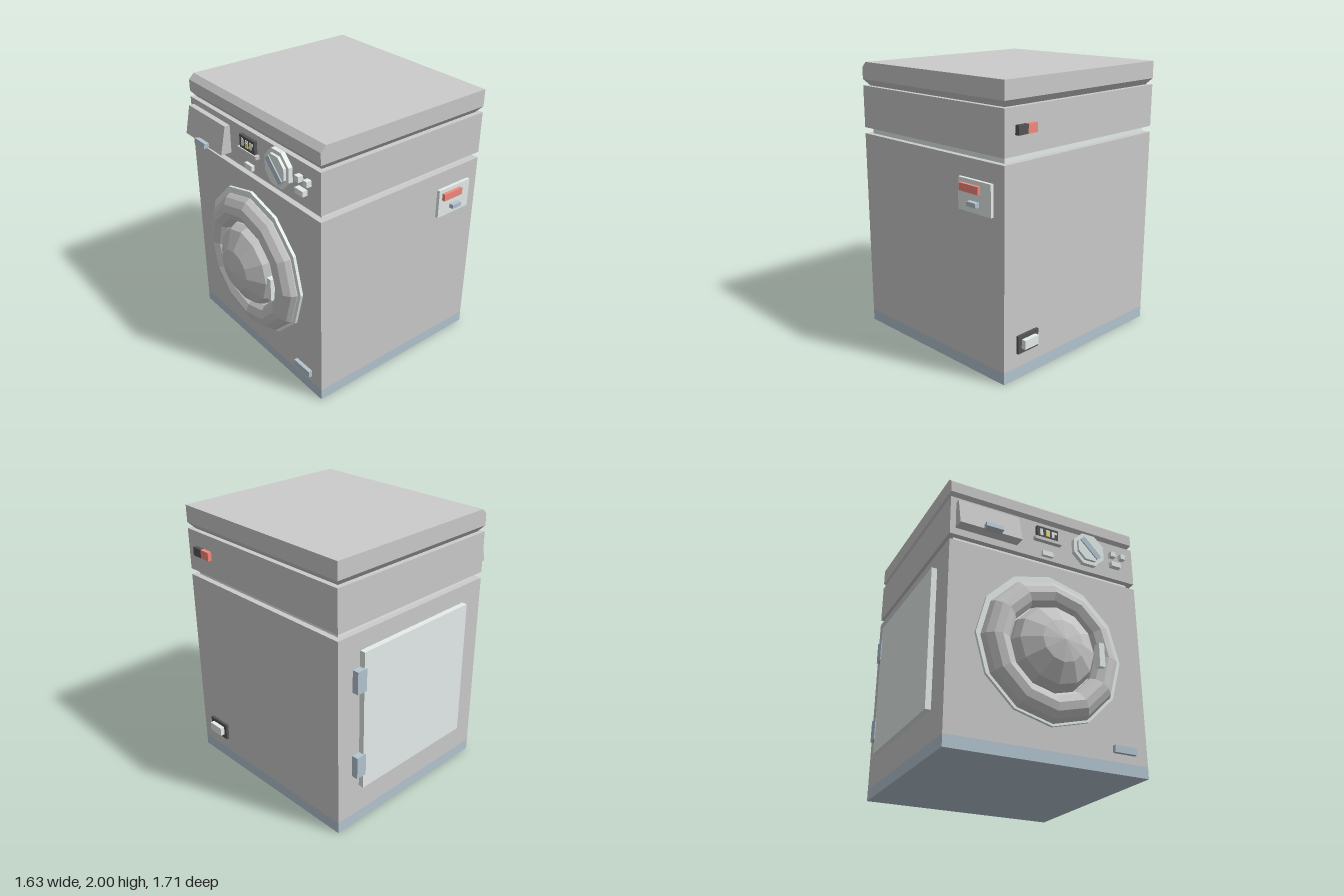
import * as THREE from 'three';

const mat = (color) => new THREE.MeshStandardMaterial({ color, flatShading: true });

export function createModel() {
  const model = new THREE.Group();
  const grey = mat(0xcccccc), pale = mat(0xe6eeec), blue = mat(0xb4c6d0);
  const dark = mat(0x555555), red = mat(0xf58a7e), yellow = mat(0xf0e060);

  const add = (name, geometry, material, parent = model) => {
    const mesh = new THREE.Mesh(geometry, material);
    mesh.name = name;
    parent.add(mesh);
    return mesh;
  };
  // Box given by its limits on each axis
  const box = (name, material, x0, x1, y0, y1, z0, z1) => {
    const g = new THREE.BoxGeometry(x1 - x0, y1 - y0, z1 - z0);
    g.translate((x0 + x1) / 2, (y0 + y1) / 2, (z0 + z1) / 2);
    return add(name, g, material);
  };
  // Side outline of [z, y] points, extruded along x
  const sideProfile = (name, material, points, x0, x1) => {
    const shape = new THREE.Shape(points.map(([z, y]) => new THREE.Vector2(-z, y)));
    const g = new THREE.ExtrudeGeometry(shape, { depth: x1 - x0, bevelEnabled: false });
    g.rotateY(Math.PI / 2);
    g.scale(1, 1, 1);
    g.translate(x0, 0, 0);
    return add(name, g, material);
  };
  // Turned part facing forward, from [radius, z] points
  const turned = (name, material, points, x, y, sides = 12) => {
    const g = new THREE.LatheGeometry(points.map(([r, z]) => new THREE.Vector2(r, z)), sides);
    g.rotateX(Math.PI / 2);
    g.translate(x, y, 0);
    return add(name, g, material);
  };

  // Cabinet
  const L = -0.767, R = 0.754, B = -0.8, F = 0.636;
  box('base', blue, L, R, 0, 0.085, B, F);
  box('cabinet', grey, L, R, 0.085, 1.48, B, F);
  box('neck', pale, L + 0.042, R - 0.042, 1.48, 1.525, B + 0.042, F - 0.042);
  box('controlHousing', grey, L, R, 1.525, 1.83, B, F);

  // Lid with a tapered underside and a bevelled front edge
  const under = box('lidUnderside', grey, L, R, 1.83, 1.875, B, F);
  const p = under.geometry.attributes.position;
  for (let i = 0; i < p.count; i++) {
    if (p.getY(i) < 1.85) {
      p.setX(i, p.getX(i) - Math.sign(p.getX(i)) * 0.037);
      p.setZ(i, p.getZ(i) - Math.sign(p.getZ(i)) * 0.037);
    }
  }
  under.geometry.computeVertexNormals();
  sideProfile('lid', grey, [[F, 1.875], [B, 1.875], [B, 2], [0.595, 2], [F, 1.96]], L, R);

  // Detergent drawer
  sideProfile('drawer', grey, [[0.72, 1.578], [0.63, 1.578], [0.63, 1.785], [0.677, 1.785]], -0.725, -0.249);
  const handle = box('drawerHandle', blue, -0.545, -0.413, -0.018, 0.018, -0.025, 0.025);
  handle.position.set(0, 1.592, 0.732);
  handle.rotation.x = -0.2;

  // Display with segments and a ledge
  box('display', dark, -0.095, 0.08, 1.69, 1.785, 0.63, 0.66);
  box('displayLedge', grey, -0.115, 0.105, 1.665, 1.69, 0.63, 0.67);
  [[-0.07, -0.047, 1.71, 1.765], [0.027, 0.07, 1.745, 1.763], [0.027, 0.047, 1.712, 1.763], [-0.022, 0.01, 1.75, 1.765]]
    .forEach((s) => box('displaySegment', pale, ...s, 0.65, 0.664));
  box('displayLight', yellow, -0.022, 0.01, 1.71, 1.747, 0.65, 0.666);
  box('displayButton', pale, -0.05, 0.035, 1.548, 1.588, 0.63, 0.66);

  // Selector dial
  const octagon = (name, material, r, z0, z1) => {
    const g = new THREE.CylinderGeometry(r, r, z1 - z0, 8);
    g.rotateY(Math.PI / 8);
    g.rotateX(Math.PI / 2);
    g.translate(0.341, 1.7, (z0 + z1) / 2);
    add(name, g, material);
  };
  octagon('dialRing', pale, 0.14, 0.63, 0.668);
  octagon('dialKnob', pale, 0.11, 0.66, 0.688);
  const pointer = box('dialPointer', blue, -0.098, 0.098, -0.024, 0.024, -0.01, 0.01);
  pointer.position.set(0.341, 1.7, 0.686);
  pointer.rotation.z = -Math.PI / 4;

  // Push buttons
  box('button', pale, 0.537, 0.58, 1.7, 1.741, 0.63, 0.675);
  box('button', pale, 0.625, 0.665, 1.7, 1.741, 0.63, 0.675);
  box('wideButton', pale, 0.537, 0.62, 1.615, 1.655, 0.63, 0.675);

  // Round door
  const cx = -0.005;
  turned('doorPlate', pale, [[0.563, 0.63], [0.563, 0.658], [0, 0.658]], cx, 0.81);
  turned('doorRing', grey, [[0.53, 0.635], [0.53, 0.665], [0.51, 0.7], [0.465, 0.735], [0.41, 0.75],
    [0.355, 0.725], [0.328, 0.69], [0.325, 0.64]], cx, 0.794);
  turned('doorWindow', grey, [[0.318, 0.64], [0.316, 0.69], [0.285, 0.75], [0.155, 0.825], [0, 0.855]], cx, 0.794);
  box('doorLatch', pale, 0.317, 0.36, 0.7, 0.88, 0.68, 0.765);
  box('filterCover', blue, 0.473, 0.648, 0.145, 0.195, 0.63, 0.664);

  // Control plate on the left side
  box('sidePlate', pale, 0.75, 0.778, 1.132, 1.35, -0.705, -0.402);
  box('sideBar', red, 0.77, 0.802, 1.267, 1.32, -0.61, -0.433);
  box('sideSwitch', blue, 0.77, 0.812, 1.18, 1.212, -0.6, -0.515);

  // Hinged access panel on the right side
  box('accessPanel', pale, -0.808, -0.76, 0.305, 1.35, -0.605, 0.432);
  [0.415, 1.07].forEach((y) => box('hinge', blue, -0.815, -0.76, y, y + 0.165, -0.67, -0.588));

  // Power switch and outlet on the back
  box('powerSwitch', dark, 0.575, 0.662, 1.657, 1.72, -0.83, -0.79);
  box('powerSwitchRocker', red, 0.49, 0.575, 1.657, 1.72, -0.83, -0.79);
  box('outletFrame', dark, 0.45, 0.64, 0.188, 0.315, -0.82, -0.79);
  box('outlet', pale, 0.48, 0.61, 0.222, 0.287, -0.852, -0.79);

  return model;
}
